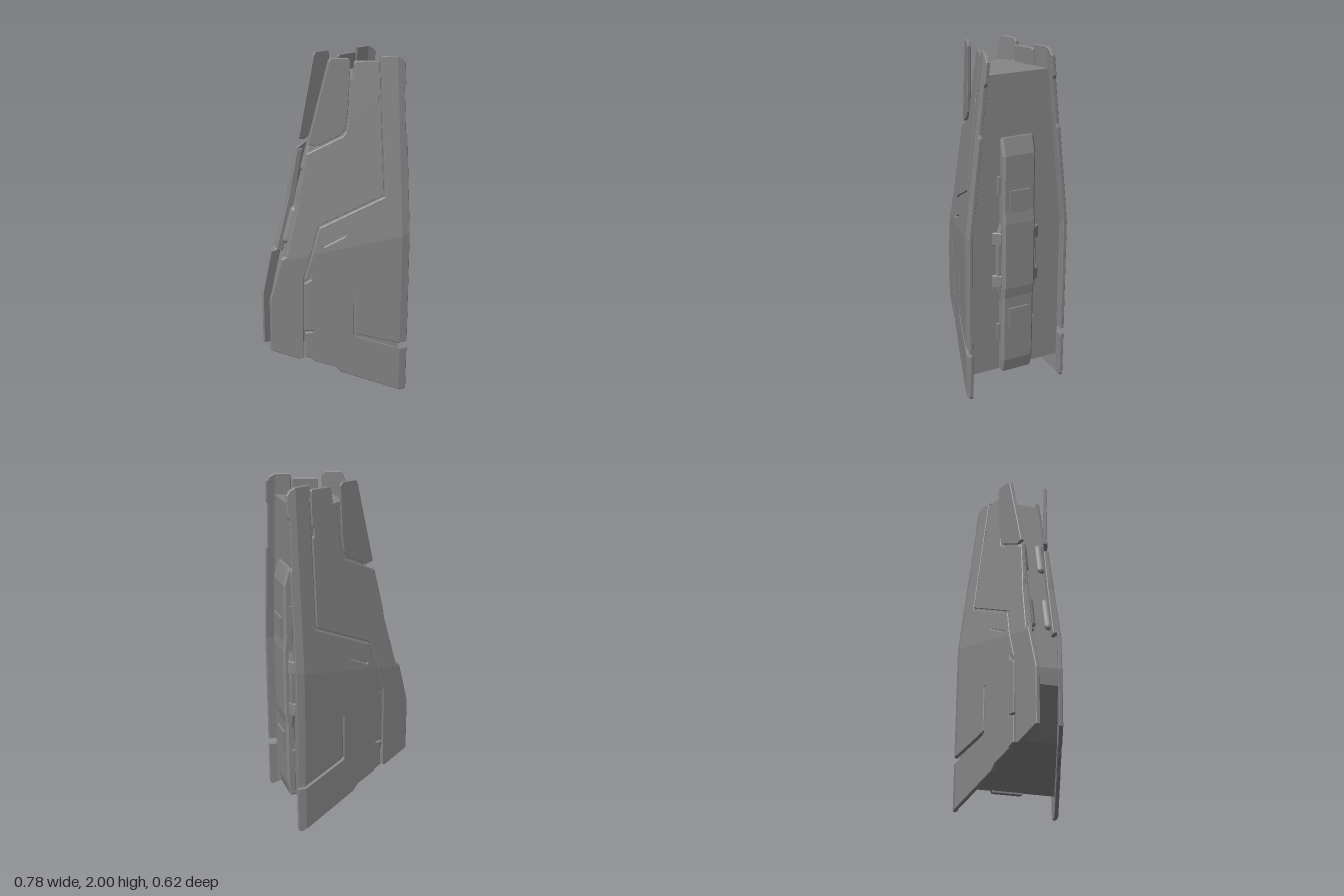
import * as THREE from 'three';

const COLOR = 0x868686;
const material = new THREE.MeshStandardMaterial({ color: COLOR, flatShading: true });
const smoothMaterial = new THREE.MeshStandardMaterial({ color: COLOR });

// Outer skin of the hull: wedge in x, leaning inward above a slanted crease
const lean = (x, y) => Math.max(0, y - 0.925 - 0.2 * Math.min(x, 0.33));
const skin = (x, y, leanTop = 2) =>
  0.202 + 0.326 * Math.min(x, 0.33) - 0.11 * lean(x, Math.min(y, leanTop));

// Lines along which the skin folds, as signed distances
const CREASES = [(v) => v.x - 0.33, (v) => v.y - 0.925 - 0.2 * v.x];

const toShape = (pts) => new THREE.Shape(pts.map(([x, y]) => new THREE.Vector2(x, y)));

function extrude(pts, depth, bevel, holes = []) {
  const shape = toShape(pts);
  holes.forEach((h) => shape.holes.push(toShape(h)));
  return new THREE.ExtrudeGeometry(shape, {
    depth: depth - 2 * bevel, bevelEnabled: bevel > 0, bevelThickness: bevel,
    bevelSize: bevel, bevelOffset: -bevel, bevelSegments: 1,
  }).translate(0, 0, bevel);
}

// Keep the part of a convex polygon on one side of a crease
function clip(poly, distance, sign) {
  const out = [];
  poly.forEach((a, i) => {
    const b = poly[(i + 1) % poly.length];
    const da = sign * distance(a), db = sign * distance(b);
    if (da >= 0) out.push(a);
    if (da * db < 0) out.push(a.clone().lerp(b, da / (da - db)));
  });
  return out;
}

// Split the triangles along the creases, then move each vertex in z by a rule
function fold(geometry, rule, mirror = false) {
  const p = geometry.attributes.position;
  let polys = [];
  for (let i = 0; i < p.count; i += 3) {
    polys.push([0, 1, 2].map((k) => new THREE.Vector3().fromBufferAttribute(p, i + k)));
  }
  for (const crease of CREASES) {
    polys = polys.flatMap((q) => [clip(q, crease, 1), clip(q, crease, -1)])
      .filter((q) => q.length > 2);
  }
  const out = [];
  for (const q of polys) {
    const v = q.map((a) => [a.x, a.y, rule(a) * (mirror ? -1 : 1)]);
    if (mirror) v.reverse();
    for (let k = 1; k < v.length - 1; k++) out.push(...v[0], ...v[k], ...v[k + 1]);
  }
  const g = new THREE.BufferGeometry();
  g.setAttribute('position', new THREE.Float32BufferAttribute(out, 3));
  g.computeVertexNormals();
  return g;
}

// Armour outlines, in the x-y plane
const PLATES = {
  mainPlate: {
    pts: [
      [-0.2, 0.25], [-0.16, 0.235], [-0.15, 0.22], [-0.03, 0.175], [0, 0.14], [0.32, 0.01],
      [0.35, 0], [0.37, 0], [0.378, 0.015],
      // stepped slit
      [0.378, 0.28], [0.33, 0.28], [0.085, 0.37], [0.068, 0.385], [0.068, 0.66],
      [0.074, 0.66], [0.076, 0.395], [0.095, 0.383], [0.32, 0.318], [0.378, 0.318],
      // rear edge and top
      [0.378, 1.56], [0.369, 1.58], [0.369, 1.83], [0.378, 1.85], [0.378, 1.96],
      [0.36, 1.985], [0.33, 2], [0.244, 2], [0.244, 1.22], [-0.112, 1.05], [-0.198, 0.75],
      [-0.16, 0.77], [-0.165, 0.74], [-0.2, 0.715],
      [-0.2, 0.417], [-0.16, 0.415], [-0.16, 0.407], [-0.2, 0.405],
    ],
    holes: [[[-0.1, 0.943], [0.03, 1.007], [0.022, 0.995], [-0.092, 0.937]]],
  },
  frontPlate: {
    pts: [
      [-0.39, 0.3], [-0.235, 0.237], [-0.213, 0.245], [-0.209, 0.745], [-0.12, 1.06],
      [0.236, 1.23], [0.236, 1.72], [0.226, 1.73], [0.226, 1.775], [0.236, 1.785],
      [0.236, 1.965], [0.228, 1.975], [0.115, 1.975], [0.107, 1.965],
      [0.1, 1.885], [0.075, 1.885], [0.064, 1.66], [0.05, 1.59], [0.03, 1.565],
      [-0.115, 1.495], [-0.165, 1.47], [-0.215, 1.24], [-0.22, 1.19],
      [-0.3, 0.885], [-0.325, 0.87], [-0.39, 0.62],
    ],
  },
  // Upright horn above the front plate
  hornPlate: {
    pts: [
      [-0.155, 1.525], [-0.115, 1.513], [0.015, 1.575], [0.042, 1.61], [0.055, 1.72],
      [0.066, 1.98], [0.055, 2], [-0.035, 2], [-0.045, 1.985],
    ],
    leanTop: 1.52,
  },
};

export function createModel() {
  const model = new THREE.Group();
  const add = (name, geometry, x = 0, y = 0, z = 0) => {
    const mesh = new THREE.Mesh(geometry, material);
    mesh.name = name;
    mesh.position.set(x, y, z);
    model.add(mesh);
    return mesh;
  };
  const box = (name, w, h, d, x, y, z) => add(name, new THREE.BoxGeometry(w, h, d), x, y, z);

  // Hull core between the armour sides
  const core = extrude([
    [-0.32, 0.55], [-0.1, 0.3], [0.31, 0.13], [0.33, 0.13], [0.33, 1.88], [0.02, 1.88], [-0.32, 0.65],
  ], 1, 0);
  add('hullCore', fold(core, (v) => (2 * v.z - 1) * (skin(v.x, v.y) - 0.02)));

  // Armour plates on both sides
  const thickness = 0.023;
  for (const side of [1, -1]) {
    for (const [name, { pts, holes, leanTop }] of Object.entries(PLATES)) {
      const rule = (v) => skin(v.x, v.y, leanTop) + v.z - thickness;
      add(name, fold(extrude(pts, thickness, 0.003, holes), rule, side < 0));
    }
    box('hornStrut', 0.04, 0.08, 0.03, 0.01, 1.62, side * 0.11);

    // Rail lining the sloping front edge
    const rail = extrude([
      [-0.325, 0.865], [-0.3, 0.88], [-0.22, 1.19], [-0.165, 1.465],
      [-0.13, 1.465], [-0.18, 1.19], [-0.26, 0.865],
    ], 0.025, 0.004);
    add('frontRail', rail, 0, 0, side * 0.071 - 0.0125);

    // Rounded vents on the sloping front face
    for (const [x, y] of [[-0.1, 1.44], [-0.216, 1.02]]) {
      const vent = add('vent', new THREE.CapsuleGeometry(0.029, 0.17, 6, 16), x, y, side * 0.054);
      vent.material = smoothMaterial;
      vent.rotation.z = -Math.atan2(0.34, 1.23);
      vent.scale.x = 0.8;
    }

    // Small tabs along the spine
    for (const y of [0.38, 1.27]) box('spineTab', 0.025, 0.1, 0.03, 0.338, y, side * 0.103);
  }

  // Rear spine with sloped ends and a slightly thicker middle
  const spine = extrude([
    [0.32, 0.12], [0.358, 0.12], [0.377, 0.2], [0.377, 0.6], [0.386, 0.66], [0.386, 1.05],
    [0.377, 1.12], [0.377, 1.44], [0.35, 1.535], [0.32, 1.535],
  ], 0.2, 0.013);
  add('spine', spine, 0, 0, -0.1);

  // Widened saddle around the middle of the spine
  const saddle = extrude([
    [-0.1, 0.575], [0.1, 0.575], [0.122, 0.655], [0.122, 0.97], [0.1, 1.05],
    [-0.1, 1.05], [-0.122, 0.97], [-0.122, 0.655],
  ], 0.035, 0.006).rotateY(Math.PI / 2);
  add('spineSaddle', saddle, 0.32);

  // Chamfered clamps across the saddle
  const clamp = extrude([
    [0.32, -0.145], [0.335, -0.145], [0.362, -0.105], [0.362, 0.105], [0.335, 0.145], [0.32, 0.145],
  ], 0.075, 0.004).rotateX(-Math.PI / 2);
  for (const y of [0.662, 0.92]) add('spineClamp', clamp, 0, y);

  // Square hatches on the spine
  for (const y of [0.47, 1.18]) box('spineHatch', 0.02, 0.125, 0.125, 0.379, y, 0);

  return model;
}
